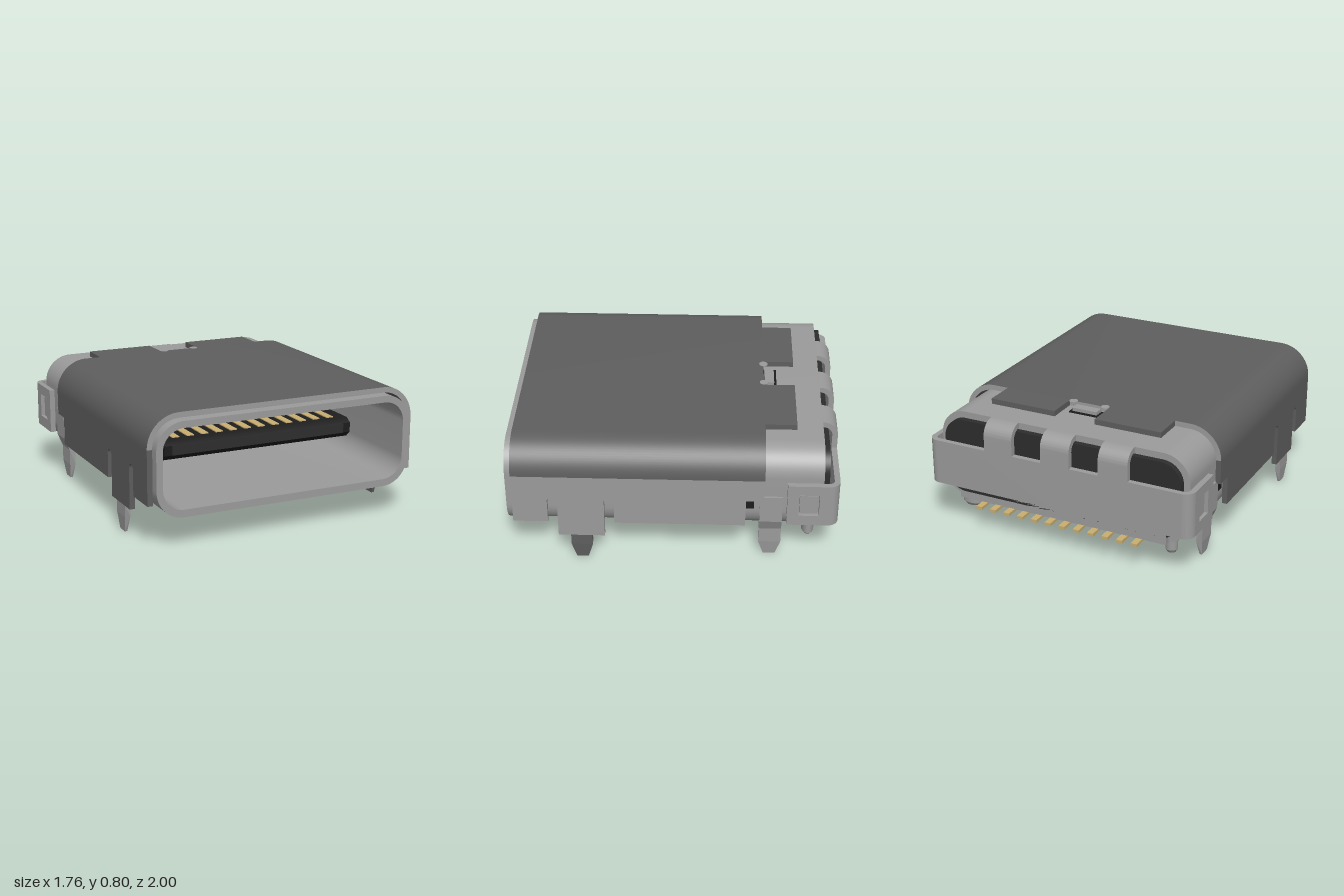
import * as THREE from 'three';
import { toCreasedNormals } from 'three/addons/utils/BufferGeometryUtils.js';

const mat = (name, color) => new THREE.MeshStandardMaterial({ name, color });

export function createModel() {
  const root = new THREE.Group();
  root.name = 'connectorSocket';
  const steel = mat('light steel', 0x9b9b9b);
  const dark = mat('dark steel', 0x5e5e5e);
  const plastic = mat('charcoal plastic', 0x2d2d2d);
  const black = mat('black plastic', 0x1c1c1c);
  const gold = mat('gold', 0xc9ae70);

  const add = (name, geo, material) => {
    const m = new THREE.Mesh(geo, material);
    m.name = name;
    root.add(m);
    return m;
  };
  // box given by its limits on each axis
  const box = (name, material, x0, x1, y0, y1, z0, z1) =>
    add(name, new THREE.BoxGeometry(x1 - x0, y1 - y0, z1 - z0)
      .translate((x0 + x1) / 2, (y0 + y1) / 2, (z0 + z1) / 2), material);
  const poly = (pts) => new THREE.Shape(pts.map((p) => new THREE.Vector2(p[0], p[1])));
  const extrude = (shape, depth) => toCreasedNormals(
    new THREE.ExtrudeGeometry(shape, { depth, bevelEnabled: false, curveSegments: 10 }), 0.6);
  // front outline extruded from z0 to z1
  const alongZ = (shape, z0, z1) => extrude(shape, z1 - z0).translate(0, 0, z0);
  // (z, y) outline extruded from x0 to x1
  const alongX = (shape, x0, x1) => extrude(shape, x1 - x0).rotateY(-Math.PI / 2).translate(x1, 0, 0);

  const rounded = (w, y0, y1, r, T = THREE.Shape) => {
    const s = new T();
    s.moveTo(w - r, y0);
    s.absarc(w - r, y0 + r, r, -Math.PI / 2, 0);
    s.absarc(w - r, y1 - r, r, 0, Math.PI / 2);
    s.absarc(-w + r, y1 - r, r, Math.PI / 2, Math.PI);
    s.absarc(-w + r, y0 + r, r, Math.PI, Math.PI * 1.5);
    s.closePath();
    return s;
  };

  // inner shell tube
  const tube = rounded(0.83, 0.19, 0.757, 0.17);
  tube.holes.push(rounded(0.79, 0.235, 0.716, 0.13, THREE.Path));
  add('innerShell', alongZ(tube, -0.895, 1), steel);

  // plastic housing filling the rear of the tube
  add('housing', alongZ(rounded(0.789, 0.236, 0.715, 0.129), -0.93, -0.2), plastic);
  box('housingFoot', steel, -0.7, 0.7, 0.191, 0.27, -0.93, -0.89);

  // tongue with a stepped base and a chamfered tip
  add('tongueBase', alongZ(poly([[-0.58, 0.36], [0.58, 0.36], [0.635, 0.41], [0.635, 0.54],
    [0.58, 0.59], [-0.58, 0.59], [-0.635, 0.54], [-0.635, 0.41]]), -0.21, 0.1), black);
  add('tongue', alongX(poly([[-0.2, 0.415], [0.61, 0.415], [0.65, 0.45], [0.65, 0.51],
    [0.61, 0.535], [-0.2, 0.535]]), -0.63, 0.63), black);
  box('tongueTip', plastic, -0.58, 0.58, 0.45, 0.51, 0.645, 0.655);
  for (let i = 0; i < 12; i++) {
    const x = (i - 5.5) * 0.0955;
    box('upperContact', gold, x - 0.023, x + 0.023, 0.534, 0.541, 0.09, 0.58);
    box('lowerContact', gold, x - 0.023, x + 0.023, 0.409, 0.416, 0.09, 0.58);
    // solder pins: rear row and inner row
    box('rearPin', gold, x - 0.02, x + 0.02, 0.175, 0.193, -1, -0.89);
    box('innerPin', gold, x - 0.068, x - 0.028, 0.175, 0.193, -0.73, -0.62);
  }

  // outer cover: arched top
  const arch = new THREE.Shape();
  arch.moveTo(0.87, 0.6);
  arch.absarc(0.67, 0.6, 0.2, 0, Math.PI / 2);
  arch.absarc(-0.67, 0.6, 0.2, Math.PI / 2, Math.PI);
  arch.lineTo(-0.837, 0.6);
  arch.absarc(-0.67, 0.6, 0.167, Math.PI, Math.PI / 2, true);
  arch.absarc(0.67, 0.6, 0.167, Math.PI / 2, 0, true);
  arch.closePath();
  add('coverTop', alongZ(arch, -0.545, 0.96), [steel, dark]);
  box('coverTab', dark, -0.57, -0.138, 0.766, 0.8, -0.735, -0.544);
  box('coverTab', dark, 0.132, 0.57, 0.766, 0.8, -0.735, -0.544);

  // latch at the rear of the cover, with its two relief notches
  box('latchSlot', black, -0.1, 0.095, 0.757, 0.764, -0.625, -0.545);
  box('latch', steel, -0.085, 0.08, 0.757, 0.785, -0.61, -0.55);
  for (const x of [-0.11, 0.105]) {
    add('latchNotch', new THREE.CylinderGeometry(0.027, 0.027, 0.004, 16)
      .translate(x, 0.8, -0.545), steel);
  }

  // cover sides with round-topped slots either side of a leg tab
  const sideShape = () => {
    const s = new THREE.Shape();
    s.moveTo(-0.545, 0.6);
    s.lineTo(-0.545, 0.45);
    s.lineTo(-0.435, 0.45);
    s.lineTo(-0.435, 0.27);
    s.lineTo(0.35, 0.27);
    s.lineTo(0.35, 0.425);
    s.absarc(0.38, 0.425, 0.03, Math.PI, 0, true);
    s.lineTo(0.41, 0.17);
    s.lineTo(0.69, 0.17);
    s.lineTo(0.69, 0.425);
    s.absarc(0.72, 0.425, 0.03, Math.PI, 0, true);
    s.lineTo(0.75, 0.27);
    s.lineTo(0.96, 0.27);
    s.lineTo(0.96, 0.6);
    s.closePath();
    return s;
  };
  // leg: front outline extruded along z, narrowed toward the ground
  const leg = (pts, sx, z0, z1) => {
    const g = new THREE.ExtrudeGeometry(poly(pts.map(([x, y]) => [x * sx, y])),
      { depth: z1 - z0, bevelEnabled: false }).translate(0, 0, z0);
    const p = g.attributes.position;
    const mid = (z0 + z1) / 2;
    for (let i = 0; i < p.count; i++) {
      if (p.getY(i) < 0.05) p.setZ(i, mid + (p.getZ(i) - mid) * 0.54);
    }
    g.computeVertexNormals();
    return g;
  };
  const frontLegPts = [[0.87, 0.171], [0.87, 0.1], [0.862, 0], [0.846, 0], [0.837, 0.1], [0.837, 0.171]];
  const rearLegPts = [[0.843, 0.46], [0.843, 0.28], [0.808, 0.2], [0.808, 0.1], [0.796, 0],
    [0.78, 0], [0.77, 0.1], [0.77, 0.2], [0.8, 0.28], [0.8, 0.46]];

  // bracket side panel with a window
  const bracketSide = poly([[-0.93, 0.29], [-0.68, 0.29], [-0.68, 0.575], [-0.93, 0.575]]);
  bracketSide.holes.push(poly([[-0.87, 0.36], [-0.87, 0.51], [-0.75, 0.51], [-0.75, 0.36]]));

  for (const s of [1, -1]) {
    const span = (a, b) => (s > 0 ? [a, b] : [-b, -a]);
    add('coverSide', alongX(sideShape(), ...span(0.837, 0.87)), s > 0 ? steel : dark);
    add('frontLeg', leg(frontLegPts, s, 0.485, 0.615), s > 0 ? dark : steel);
    add('rearLeg', leg(rearLegPts, s, -0.655, -0.52), steel);
    add('bracketSide', alongX(bracketSide, ...span(0.846, 0.88)), steel);
    const [a, b] = span(0.825, 0.858);
    box('bracketCatch', steel, a, b, 0.36, 0.49, -0.86, -0.755);
    const [c, d] = span(0.826, 0.833);
    box('sideSlot', black, c, d, 0.37, 0.43, -0.485, -0.437);
  }

  // rear bracket wrapping the back corners
  const wrap = new THREE.Shape();
  wrap.moveTo(0.88, 0.925);
  wrap.absarc(0.815, 0.925, 0.065, 0, Math.PI / 2);
  wrap.absarc(-0.815, 0.925, 0.065, Math.PI / 2, Math.PI);
  wrap.lineTo(-0.846, 0.925);
  wrap.absarc(-0.815, 0.925, 0.031, Math.PI, Math.PI / 2, true);
  wrap.absarc(0.815, 0.925, 0.031, Math.PI / 2, 0, true);
  wrap.closePath();
  add('rearBracket', extrude(wrap, 0.285).rotateX(-Math.PI / 2).translate(0, 0.29, 0), steel);

  // bent straps joining the shell roof to the bracket
  const strap = new THREE.Shape();
  strap.moveTo(-0.88, 0.757);
  strap.lineTo(-0.9, 0.757);
  strap.absarc(-0.9, 0.667, 0.09, Math.PI / 2, Math.PI);
  strap.lineTo(-0.99, 0.57);
  strap.lineTo(-0.956, 0.57);
  strap.absarc(-0.9, 0.667, 0.056, Math.PI, Math.PI / 2, true);
  strap.lineTo(-0.88, 0.723);
  strap.closePath();
  for (const x of [-0.385, -0.005, 0.38]) add('rearStrap', alongX(strap, x - 0.095, x + 0.095), steel);

  // locating pegs: one round, one oval
  for (const [x, w] of [[-0.687, 1], [0.683, 1.7]]) {
    const peg = new THREE.CylinderGeometry(0.038, 0.038, 0.08, 20).scale(w, 1, 1);
    add('peg', peg.translate(x, 0.16, -0.823), steel);
    const tip = new THREE.CylinderGeometry(0.038, 0.026, 0.02, 20).scale(w, 1, 1);
    add('pegTip', tip.translate(x, 0.11, -0.823), steel);
  }
  return root;
}
